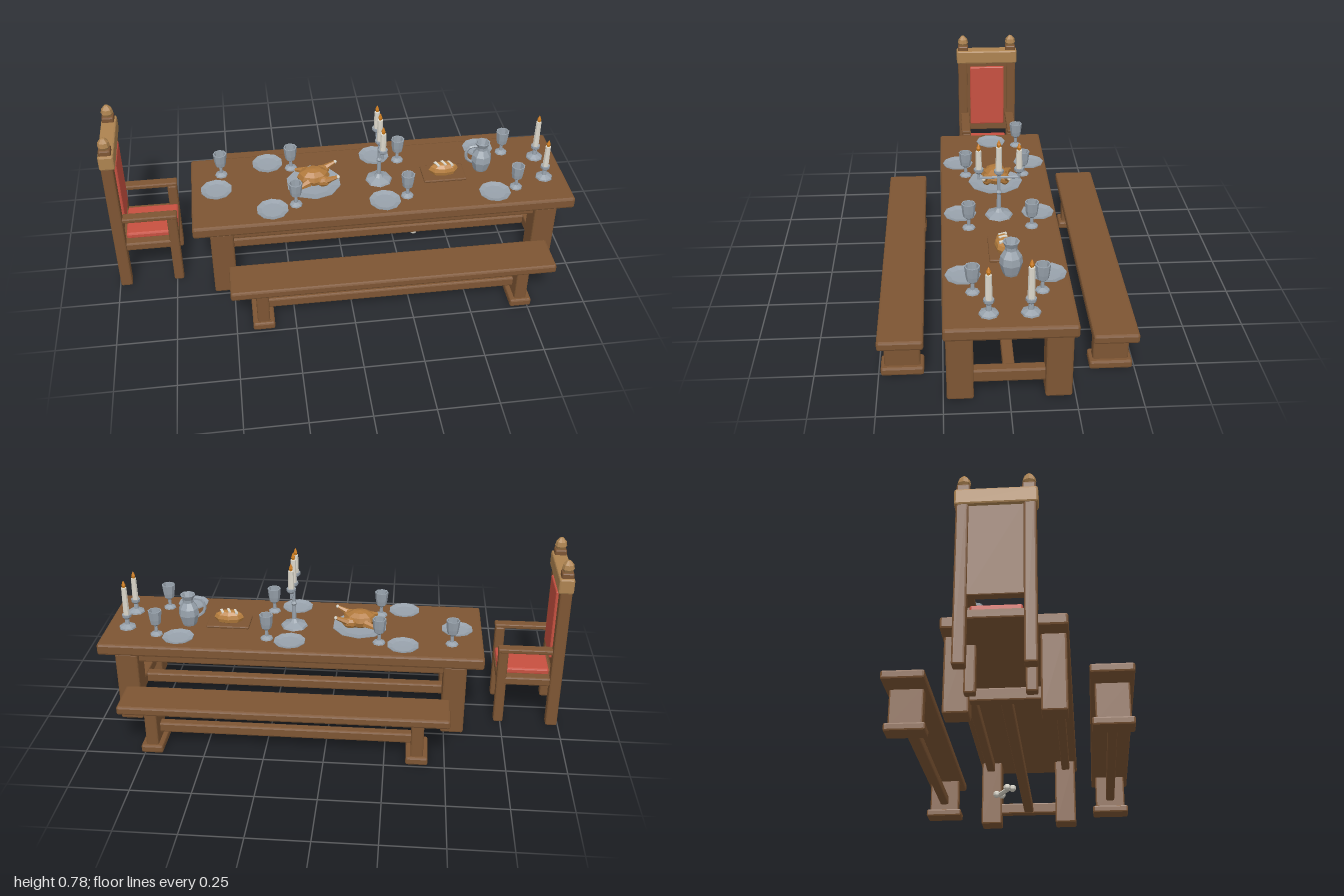
import * as THREE from 'three';
import { RoundedBoxGeometry } from 'three/addons/geometries/RoundedBoxGeometry.js';

const mat = (name, color) => {
  const m = new THREE.MeshStandardMaterial({ color, flatShading: true });
  m.name = name;
  return m;
};

export function createModel() {
  const wood = mat('brown wood', 0x7d5533);
  const paleWood = mat('pale wood', 0xad8350);
  const red = mat('red cloth', 0xc75040);
  const pewter = mat('pewter', 0x98a2ac);
  const wax = mat('wax', 0xdcd8cc);
  const flame = mat('flame', 0xcf7d1c);
  const roast = mat('roast skin', 0xb27a3c);
  const crust = mat('crust', 0xb9803f);
  const bone = mat('bone', 0xd2cec2);

  const model = new THREE.Group();
  model.name = 'banquetTable';
  const group = (name, x = 0, y = 0, z = 0, parent = model) => {
    const g = new THREE.Group();
    g.name = name;
    g.position.set(x, y, z);
    parent.add(g);
    return g;
  };
  const add = (parent, name, geo, m, x = 0, y = 0, z = 0) => {
    const mesh = new THREE.Mesh(geo, m);
    mesh.name = name;
    mesh.position.set(x, y, z);
    parent.add(mesh);
    return mesh;
  };
  // Chamfered block given by its limits on each axis
  const block = (parent, name, m, [x0, x1], [y0, y1], [z0, z1], bevel = 0.007) =>
    add(parent, name, new RoundedBoxGeometry(x1 - x0, y1 - y0, z1 - z0, 1, bevel), m,
      (x0 + x1) / 2, (y0 + y1) / 2, (z0 + z1) / 2);
  const lathe = (parent, name, m, pts, sides = 8, x = 0, y = 0, z = 0) =>
    add(parent, name, new THREE.LatheGeometry(pts.map(p => new THREE.Vector2(...p)), sides), m, x, y, z);
  const ball = (parent, name, m, [rx, ry, rz], x, y, z, w = 8, h = 6) => {
    const s = add(parent, name, new THREE.SphereGeometry(1, w, h), m, x, y, z);
    s.scale.set(rx, ry, rz);
    return s;
  };
  // Straight rod between two points, tapering from r0 to r1
  const rod = (parent, name, m, a, b, r0, r1 = r0, sides = 6) => {
    const p = new THREE.Vector3(...a), q = new THREE.Vector3(...b);
    const d = q.clone().sub(p);
    const r = add(parent, name, new THREE.CylinderGeometry(r1, r0, d.length(), sides), m,
      ...p.clone().add(q).multiplyScalar(0.5).toArray());
    r.quaternion.setFromUnitVectors(new THREE.Vector3(0, 1, 0), d.normalize());
    return r;
  };
  const span = (c, w) => [c - w / 2, c + w / 2];

  // Table
  const table = group('table');
  block(table, 'tableTop', wood, [-0.655, 0.995], [0.32, 0.372], [-0.246, 0.246], 0.01);
  for (const x of [-0.535, 0.872]) {
    for (const s of [-1, 1]) block(table, 'tableLeg', wood, span(x, 0.098), [0, 0.325], span(s * 0.186, 0.102), 0.008);
    block(table, 'endStretcher', wood, span(x, 0.045), [0.058, 0.112], [-0.145, 0.145]);
  }
  block(table, 'longStretcher', wood, [-0.54, 0.875], [0.062, 0.108], span(0, 0.045));
  for (const s of [-1, 1]) block(table, 'apron', wood, [-0.5, 0.84], [0.275, 0.325], span(s * 0.19, 0.04));

  // Benches
  for (const s of [-1, 1]) {
    const bench = group('bench', 0, 0, s * 0.407);
    block(bench, 'benchSeat', wood, [-0.515, 0.855], [0.183, 0.222], span(0, 0.176), 0.009);
    for (const x of [-0.385, 0.72]) {
      block(bench, 'benchLeg', wood, span(x, 0.052), [0.02, 0.19], span(0, 0.14));
      block(bench, 'benchFoot', wood, span(x, 0.092), [0, 0.035], span(0, 0.168), 0.008);
    }
    block(bench, 'benchStretcher', wood, [-0.39, 0.725], [0.064, 0.108], span(0, 0.04));
  }

  // High-backed chair facing the table
  const chair = group('chair');
  for (const s of [-1, 1]) {
    block(chair, 'backPost', wood, [-0.996, -0.946], [0, 0.71], span(s * 0.123, 0.047));
    block(chair, 'frontLeg', wood, [-0.762, -0.72], [0, 0.352], span(s * 0.112, 0.044));
    block(chair, 'armrest', wood, [-0.955, -0.718], [0.345, 0.366], span(s * 0.115, 0.044), 0.005);
    block(chair, 'postCollar', wood, span(-0.97, 0.05), [0.7, 0.731], span(s * 0.12, 0.05), 0.006);
    lathe(chair, 'finial', paleWood, [[0, 0], [0.018, 0], [0.026, 0.015], [0.022, 0.034], [0.008, 0.05], [0, 0.052]],
      8, -0.97, 0.729, s * 0.12);
  }
  block(chair, 'crestRail', paleWood, [-1, -0.936], [0.64, 0.708], [-0.153, 0.153], 0.008);
  block(chair, 'backPanel', wood, [-0.985, -0.95], [0.268, 0.65], [-0.105, 0.105], 0.005);
  block(chair, 'backCushion', red, [-0.955, -0.938], [0.305, 0.622], [-0.087, 0.087], 0.006);
  block(chair, 'seatFrame', wood, [-0.96, -0.72], [0.19, 0.228], [-0.134, 0.134]);
  block(chair, 'seatCushion', red, [-0.945, -0.724], [0.222, 0.252], [-0.094, 0.094], 0.008);

  // Tableware
  const T = 0.372;
  const plate = (name, x, z, r) => lathe(model, name, pewter,
    [[0, 0], [r * 0.6, 0], [r, 0.011], [r, 0.014], [r * 0.68, 0.007], [0, 0.006]], 10, x, T, z);
  const goblet = (x, z) => lathe(model, 'goblet', pewter,
    [[0, 0], [0.028, 0], [0.026, 0.006], [0.008, 0.014], [0.007, 0.042], [0.022, 0.054], [0.026, 0.075],
      [0.03, 0.115], [0.025, 0.115], [0.02, 0.07], [0, 0.06]], 8, x, T, z);
  for (const x of [-0.312, 0.172, 0.655])
    for (const s of [-1, 1]) {
      plate('plate', x, s * 0.165, 0.069);
      goblet(x + 0.103, s * 0.131);
    }
  plate('plate', -0.545, 0, 0.069);
  goblet(-0.52, -0.12);
  plate('platter', -0.12, 0, 0.121);

  // Roast bird with drumsticks and wings
  const bird = group('roastBird', -0.12, T, 0);
  ball(bird, 'birdBody', roast, [0.072, 0.04, 0.056], 0, 0.047, 0);
  for (const s of [-1, 1]) {
    ball(bird, 'thigh', roast, [0.036, 0.025, 0.022], 0.04, 0.044, s * 0.04, 6, 5);
    rod(bird, 'drumstick', roast, [0.05, 0.05, s * 0.045], [0.1, 0.072, s * 0.055], 0.016, 0.007);
    ball(bird, 'knuckle', bone, [0.009, 0.008, 0.009], 0.102, 0.073, s * 0.056, 6, 4);
    rod(bird, 'wing', roast, [-0.025, 0.045, s * 0.045], [-0.073, 0.035, s * 0.07], 0.019, 0.008);
  }

  // Bread on a board
  const bread = group('breadBoard', 0.46, T, 0);
  block(bread, 'board', wood, [-0.095, 0.095], [0, 0.012], [-0.058, 0.058], 0.004);
  ball(bread, 'loaf', crust, [0.066, 0.034, 0.034], 0, 0.03, 0);
  for (const x of [-0.03, 0, 0.03]) {
    const cut = add(bread, 'loafSlash', new THREE.BoxGeometry(0.011, 0.009, 0.034), wax, x, 0.06 - Math.abs(x) * 0.13, 0);
    cut.rotation.set(0, 0.4, -x * 5);
  }

  // Jug with handle
  const jug = group('jug', 0.635, T, -0.021);
  lathe(jug, 'jugBody', pewter, [[0, 0], [0.03, 0], [0.034, 0.01], [0.046, 0.05], [0.042, 0.08], [0.024, 0.108],
    [0.024, 0.122], [0.034, 0.144], [0.028, 0.144], [0.018, 0.118], [0, 0.11]], 8);
  const handle = new THREE.CatmullRomCurve3([[-0.024, 0.125], [-0.055, 0.122], [-0.072, 0.095], [-0.066, 0.06], [-0.04, 0.04]]
    .map(([x, y]) => new THREE.Vector3(x, y, 0)));
  add(jug, 'jugHandle', new THREE.TubeGeometry(handle, 8, 0.007, 5), pewter);

  // Candle with its flame, standing at the given height
  const candle = (parent, y, h, z = 0) => {
    add(parent, 'candle', new THREE.CylinderGeometry(0.012, 0.014, h, 8), wax, 0, y + h / 2, z);
    lathe(parent, 'flame', flame, [[0, 0], [0.007, 0.004], [0.009, 0.014], [0.004, 0.028], [0, 0.036]], 6, 0, y + h - 0.002, z);
  };
  const cup = [[0, 0], [0.01, 0], [0.02, 0.01], [0.021, 0.022], [0, 0.022]];

  // Three-armed candelabra
  const cand = group('candelabra', 0.17, T, 0);
  lathe(cand, 'candelabraStem', pewter, [[0, 0], [0.06, 0], [0.056, 0.008], [0.022, 0.02], [0.01, 0.035], [0.008, 0.1],
    [0.014, 0.11], [0.008, 0.12], [0.008, 0.2], [0, 0.2]], 8);
  for (const s of [-1, 0, 1]) {
    const z = s * 0.084;
    if (s) {
      rod(cand, 'arm', pewter, [0, 0.178, 0], [0, 0.178, z], 0.006);
      rod(cand, 'armRiser', pewter, [0, 0.173, z], [0, 0.205, z], 0.006);
    }
    lathe(cand, 'candleCup', pewter, cup, 8, 0, s ? 0.199 : 0.19, z);
    candle(cand, 0.21, s ? 0.092 : 0.106, z);
  }

  // Single candlesticks
  for (const [z, h] of [[0.077, 0.104], [-0.076, 0.13]]) {
    const stick = group('candlestick', 0.9, T, z);
    lathe(stick, 'candlestickBase', pewter, [[0, 0], [0.038, 0], [0.036, 0.007], [0.012, 0.018], [0.009, 0.045], [0, 0.045]], 8);
    lathe(stick, 'candleCup', pewter, cup, 8, 0, 0.042, 0);
    candle(stick, 0.062, h);
  }

  // Bone dropped under the table
  const scrap = group('droppedBone', 0.39, 0.02, -0.083);
  scrap.rotation.y = Math.atan2(0.06, 0.1);
  rod(scrap, 'boneShaft', bone, [-0.055, 0, 0], [0.055, 0, 0], 0.011);
  for (const x of [-1, 1])
    for (const z of [-1, 1]) ball(scrap, 'boneKnob', bone, [0.018, 0.017, 0.017], x * 0.055, 0, z * 0.014, 7, 5);

  return model;
}
